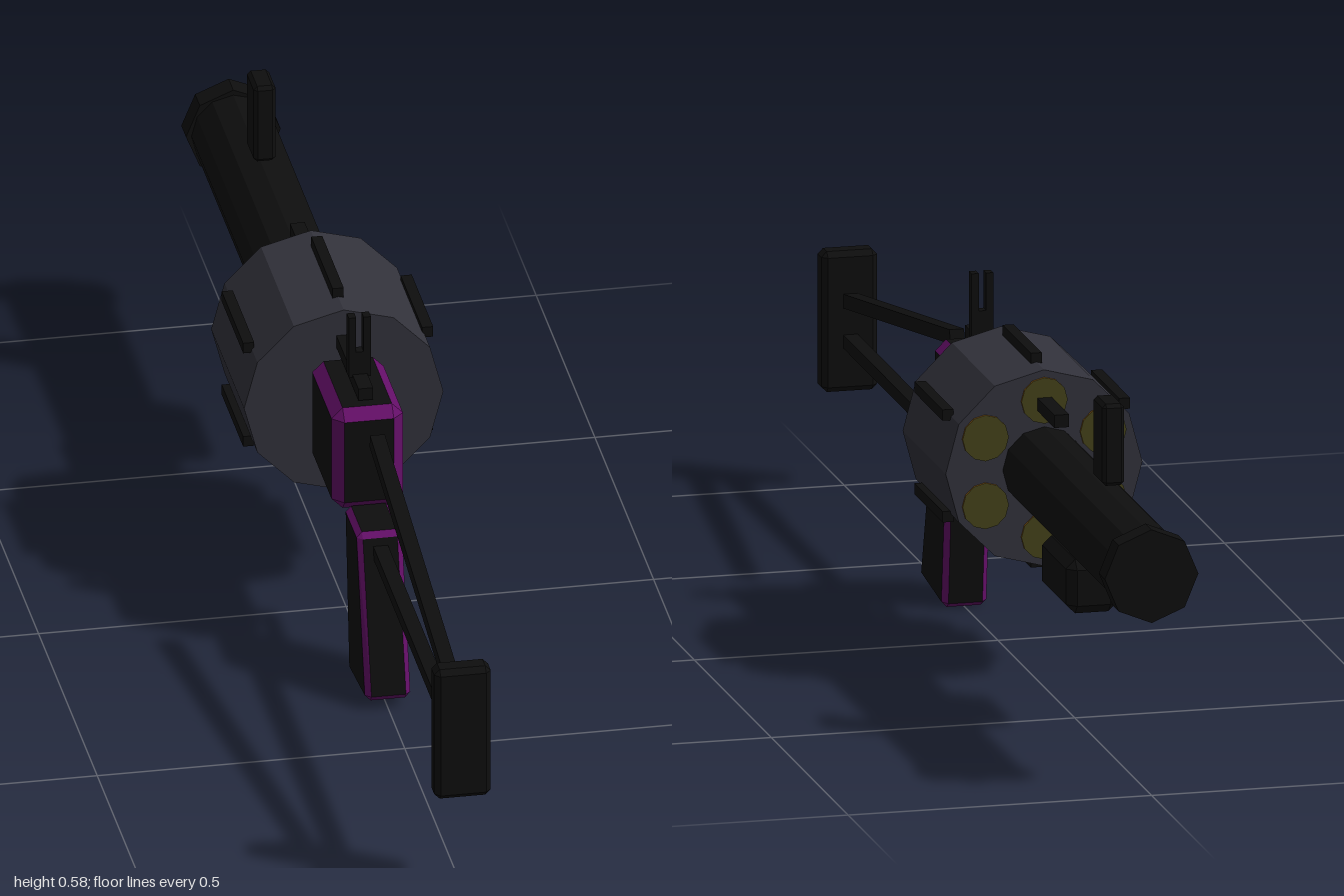
import * as THREE from 'three';

const mat = (name, color, flatShading = false) => {
  const m = new THREE.MeshStandardMaterial({ color });
  m.name = name;
  m.flatShading = flatShading;
  return m;
};
const lerp = THREE.MathUtils.lerp;

// Box with flat chamfers: group 0 holds the six faces, group 1 the chamfers.
function chamferBox(w, h, d, c) {
  const half = [w / 2, h / 2, d / 2];
  const point = (signs, axis) =>
    new THREE.Vector3(...signs.map((s, i) => s * (half[i] - (i === axis ? 0 : c))));
  const out = [];
  const tri = (a, b, e) => {
    const n = b.clone().sub(a).cross(e.clone().sub(a));
    const ordered = n.dot(a.clone().add(b).add(e)) > 0 ? [a, b, e] : [a, e, b];
    ordered.forEach((p) => out.push(p.x, p.y, p.z));
  };
  const quad = (a, b, e, f) => { tri(a, b, e); tri(a, e, f); };
  const signs = (i, si, j, sj, k, sk) => {
    const s = [0, 0, 0];
    s[i] = si; s[j] = sj; s[k] = sk;
    return s;
  };
  for (let i = 0; i < 3; i++) {
    const j = (i + 1) % 3, k = (i + 2) % 3;
    for (const s of [-1, 1]) {
      const p = (a, b) => point(signs(i, s, j, a, k, b), i);
      quad(p(-1, -1), p(1, -1), p(1, 1), p(-1, 1));
    }
  }
  const faceCount = out.length / 3;
  for (let i = 0; i < 3; i++) {
    const j = (i + 1) % 3, k = (i + 2) % 3;
    for (const a of [-1, 1]) for (const b of [-1, 1]) {
      const p = (s, axis) => point(signs(i, s, j, a, k, b), axis);
      quad(p(-1, j), p(1, j), p(1, k), p(-1, k));
    }
  }
  for (const x of [-1, 1]) for (const y of [-1, 1]) for (const z of [-1, 1]) {
    tri(...[0, 1, 2].map((axis) => point([x, y, z], axis)));
  }
  const g = new THREE.BufferGeometry();
  g.setAttribute('position', new THREE.Float32BufferAttribute(out, 3));
  g.addGroup(0, faceCount, 0);
  g.addGroup(faceCount, out.length / 3 - faceCount, 1);
  g.computeVertexNormals();
  return g;
}

export function createModel() {
  const model = new THREE.Group();
  model.name = 'launcher';
  const black = mat('black', 0x0e0e0e, true);
  const purple = mat('purple', 0x640f68, true);
  const steel = mat('dark steel', 0x32323b, true);
  const olive = mat('olive', 0x45421a, true);
  const brass = mat('brass', 0x8a5a14, true);
  const axisY = 0.363;

  const add = (name, geometry, material, x = 0, y = 0, z = 0) => {
    const mesh = new THREE.Mesh(geometry, material);
    mesh.name = name;
    mesh.position.set(x, y, z);
    model.add(mesh);
    return mesh;
  };
  // Plain box given by its y and z limits
  const bar = (name, w, y0, y1, z0, z1, x = 0) =>
    add(name, new THREE.BoxGeometry(w, y1 - y0, z1 - z0), black, x, (y0 + y1) / 2, (z0 + z1) / 2);
  const chamfered = (name, w, y0, y1, z0, z1, c, edge = black) =>
    add(name, chamferBox(w, y1 - y0, z1 - z0, c), [black, edge], 0, (y0 + y1) / 2, (z0 + z1) / 2);
  // Cylinder lying along z
  const tube = (name, r, sides, z0, z1, material, x = 0, y = axisY) =>
    add(name, new THREE.CylinderGeometry(r, r, z1 - z0, sides).rotateX(Math.PI / 2),
      material, x, y, (z0 + z1) / 2);

  // Barrel and drum
  tube('barrel', 0.068, 12, -0.98, -0.29, black);
  tube('muzzle', 0.077, 8, -1, -0.96, black);
  tube('drum', 0.162, 12, -0.3, -0.02, steel);

  // Ribs around the drum, and the rounds in its far face
  for (let i = 0; i < 6; i++) {
    const a = Math.PI / 6 + (i * Math.PI) / 3;
    const cx = Math.cos(a), cy = Math.sin(a);
    const ry = axisY + cy * 0.168;
    bar('drumRib', 0.018, ry - 0.009, ry + 0.009, -0.25, -0.067, cx * 0.168);
    tube('round', 0.038, 12, -0.304, -0.296, [brass, olive, olive], cx * 0.112, axisY + cy * 0.112);
  }

  // Receiver, top rail and sights
  chamfered('receiver', 0.116, 0.275, 0.455, -0.002, 0.198, 0.018, purple);
  bar('topRail', 0.024, 0.459, 0.48, -0.415, 0.168);
  bar('rearSightBase', 0.036, 0.475, 0.52, 0.1, 0.118);
  for (const s of [-1, 1]) bar('rearSightProng', 0.012, 0.515, 0.582, 0.1, 0.118, s * 0.012);
  chamfered('frontSight', 0.036, 0.449, 0.584, -0.755, -0.688, 0.006);
  chamfered('foregrip', 0.085, 0.204, 0.293, -0.625, -0.44, 0.015);

  // Raked grip: a chamfered box sheared and flared towards the bottom
  const gripGeo = chamferBox(0.074, 0.275, 0.13, 0.009);
  const pos = gripGeo.attributes.position;
  for (let i = 0; i < pos.count; i++) {
    const t = pos.getY(i) / 0.275 + 0.5, u = pos.getZ(i) / 0.13 + 0.5;
    pos.setY(i, lerp(lerp(0, 0.018, u), 0.282, t));
    pos.setZ(i, lerp(lerp(0.212, 0.182, t), lerp(0.366, 0.288, t), u));
  }
  gripGeo.computeVertexNormals();
  add('grip', gripGeo, [black, purple]);

  // Trigger and guard
  bar('triggerGuard', 0.02, 0.179, 0.19, 0.085, 0.215);
  bar('guardPost', 0.02, 0.18, 0.25, 0.085, 0.096);
  bar('trigger', 0.012, 0.188, 0.243, 0.177, 0.184);

  // Skeleton stock
  bar('lowerStrut', 0.024, 0.239, 0.261, 0.2, 0.965);
  const upper = bar('upperStrut', 0.024, 0.364, 0.387, 0.26, 0.97);
  upper.rotation.x = Math.atan2(0.12, 0.7);
  chamfered('buttPlate', 0.092, 0.166, 0.398, 0.958, 1, 0.009);

  return model;
}
